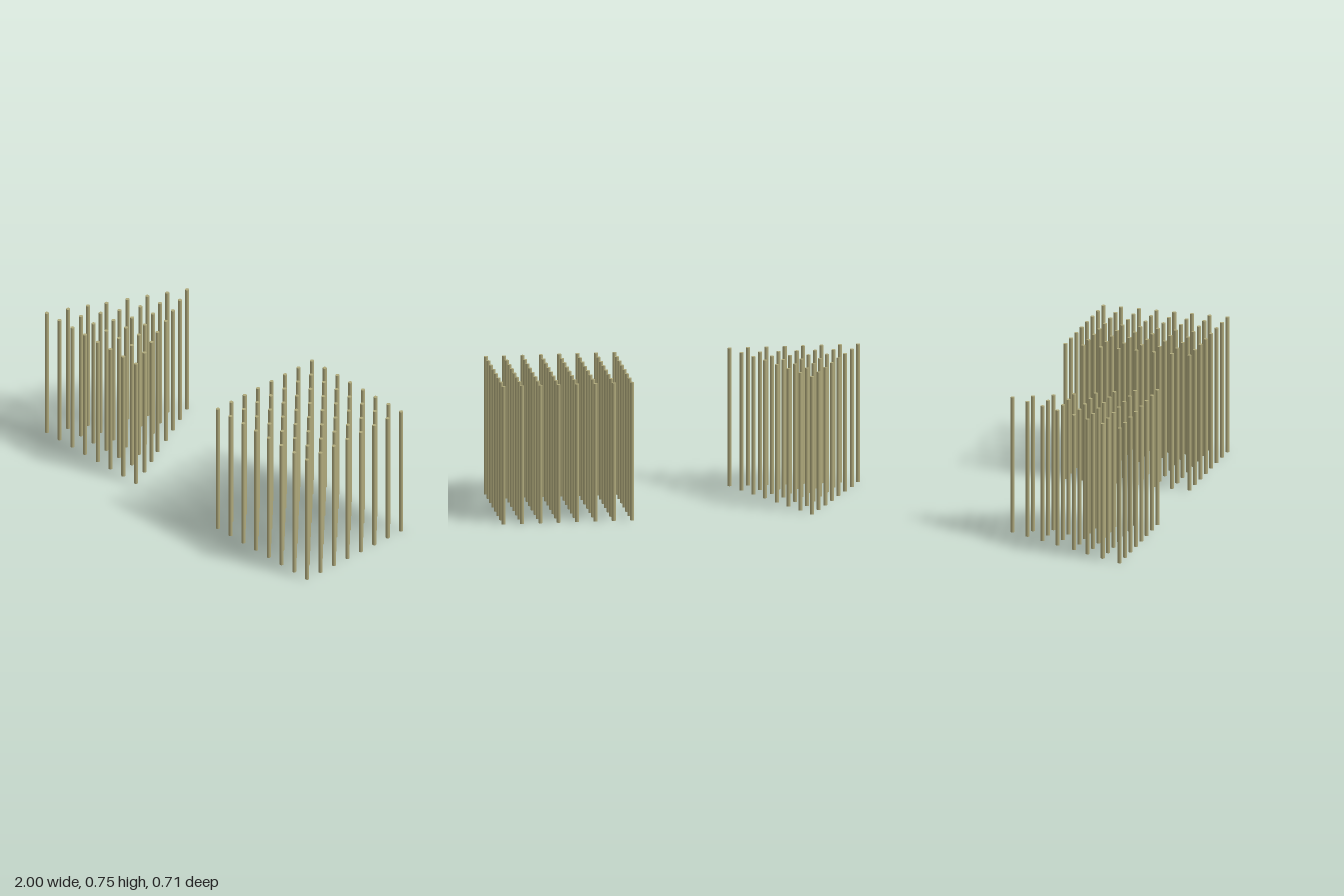
import * as THREE from 'three';

const HEIGHT = 0.745, RADIUS = 0.0107, STEP = 0.0974, ROWS = 8, BACK_Z = -0.346;

export function createModel() {
  const model = new THREE.Group();
  const material = new THREE.MeshStandardMaterial({ color: 0xb0aa7c });
  const geometry = new THREE.CylinderGeometry(RADIUS, RADIUS, HEIGHT, 16);
  geometry.translate(0, HEIGHT / 2, 0);

  // one row of evenly spaced poles, centred on centerX
  function addRow(group, count, centerX, z) {
    for (let i = 0; i < count; i++) {
      const pole = new THREE.Mesh(geometry, material);
      pole.name = 'pole';
      pole.position.set(centerX + (i - (count - 1) / 2) * STEP, 0, z);
      group.add(pole);
    }
  }

  const square = new THREE.Group();
  square.name = 'squarePoleField';
  const triangle = new THREE.Group();
  triangle.name = 'triangularPoleField';

  // two triangle rows sit slightly forward of the regular spacing
  const forwardShift = { 4: 0.008, 7: 0.0108 };
  for (let row = 0; row < ROWS; row++) {
    const z = BACK_Z + row * STEP;
    addRow(square, ROWS, 0.648, z);
    addRow(triangle, row + 1, -0.648, z + (forwardShift[row] ?? 0));
  }

  model.add(square, triangle);
  return model;
}
